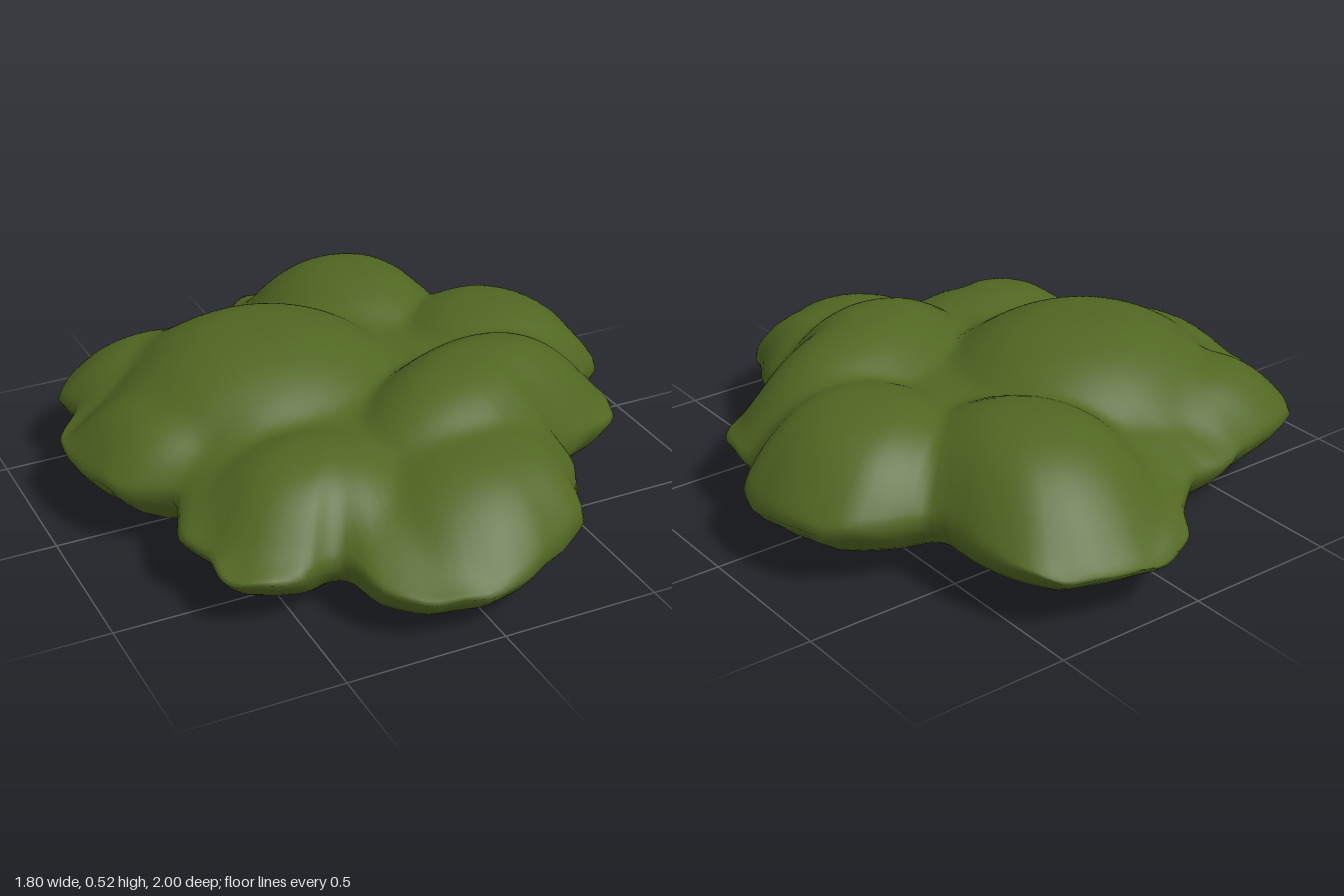
import * as THREE from 'three';

// Plan outline as x, z pairs, from +x round through +z
const OUTLINE = [
  0.90, -0.05, 0.87, 0.05, 0.79, 0.13, 0.78, 0.25, 0.74, 0.37, 0.62, 0.44, 0.48, 0.50, 0.45, 0.62,
  0.38, 0.75, 0.35, 0.83, 0.20, 0.92, 0.07, 0.98, -0.05, 0.995, -0.20, 0.97, -0.32, 0.87, -0.37, 0.72,
  -0.42, 0.70, -0.52, 0.73, -0.66, 0.69, -0.71, 0.62, -0.71, 0.52, -0.75, 0.40, -0.70, 0.23, -0.83, 0.12,
  -0.88, 0.0, -0.90, -0.18, -0.87, -0.30, -0.80, -0.38, -0.81, -0.50, -0.75, -0.60, -0.65, -0.65, -0.50, -0.68,
  -0.35, -0.73, -0.22, -0.74, -0.10, -0.82, 0.0, -0.95, 0.10, -0.995, 0.22, -0.995, 0.38, -0.95, 0.48, -0.88,
  0.54, -0.70, 0.57, -0.48, 0.70, -0.43, 0.82, -0.36, 0.89, -0.20,
];

// Rounded lumps: x, z, height, x radius, z radius, turn
const LUMPS = [
  [0, 0, 0.39, 1.0, 1.0, 0],
  [-0.26, -0.14, 0.52, 0.50, 0.46, 0],
  [0.27, 0.29, 0.505, 0.52, 0.31, 0.4],
  [0.16, 0.60, 0.405, 0.46, 0.42, 0.3],
  [-0.34, 0.43, 0.405, 0.40, 0.32, 0],
  [-0.62, -0.05, 0.40, 0.34, 0.36, 0],
  [-0.52, -0.43, 0.405, 0.38, 0.32, 0],
  [0.24, -0.50, 0.47, 0.38, 0.43, 0],
  [0.55, -0.11, 0.46, 0.40, 0.40, 0],
];

// Soft maximum of all lumps
function lumpHeight(x, z) {
  const k = 0.013;
  let sum = 0;
  for (const [cx, cz, h, rx, rz, turn] of LUMPS) {
    const c = Math.cos(turn), s = Math.sin(turn);
    const u = ((x - cx) * c - (z - cz) * s) / rx;
    const v = ((x - cx) * s + (z - cz) * c) / rz;
    sum += Math.exp((h - 0.22 * (u * u + v * v) ** 1.3) / k);
  }
  return k * Math.log(sum);
}

const bump = (x, z, cx, cz, r) => Math.exp(-((x - cx) ** 2 + (z - cz) ** 2) / (r * r));

// Slightly ragged height of the outer edge, drooping at the front and back
function rimHeight(x, z) {
  const a = Math.atan2(z, x);
  const droop = 0.065 * bump(x, z, -0.1, 1, 0.5) + 0.03 * bump(x, z, -0.7, 0.6, 0.3)
    + 0.035 * bump(x, z, 0.2, -1, 0.4) + 0.02 * bump(x, z, 0.9, -0.05, 0.2);
  return 0.21 - droop + 0.006 * Math.sin(23 * a) + 0.004 * Math.sin(41 * a + 1);
}

function topHeight(x, z, t, rim) {
  return rim + (lumpHeight(x, z) - rim) * Math.sqrt(Math.max(0, 1 - t ** 7));
}

function bottomHeight(x, z, t, rim) {
  const base = 0.055 - 0.07 * bump(x, z, -0.05, 0.86, 0.42) - 0.02 * bump(x, z, -0.55, 0.5, 0.35);
  return Math.max(0, base + (rim - base) * t ** 9);
}

// Closed skin of rings: centre of top, out to the rim, back in underneath
function foliageGeometry() {
  const points = [];
  for (let i = 0; i < OUTLINE.length; i += 2) points.push(new THREE.Vector3(OUTLINE[i], 0, OUTLINE[i + 1]));
  const curve = new THREE.CatmullRomCurve3(points, true);
  const segs = 180, topRings = 44, bottomRings = 18;
  const edge = Array.from({ length: segs }, (_, i) => curve.getPoint(i / segs));
  const pos = [0, topHeight(0, 0, 0, 0.18), 0];
  const index = [];

  const addRing = (t, heightAt) => {
    for (const p of edge) {
      const x = p.x * t, z = p.z * t;
      pos.push(x, heightAt(x, z, t, rimHeight(p.x, p.z)), z);
    }
  };
  // Rings crowd towards the rim so that it rounds off cleanly
  const spread = (f) => 0.45 * f + 0.55 * Math.sin(f * Math.PI / 2);
  for (let r = 1; r <= topRings; r++) addRing(spread(r / topRings), topHeight);
  for (let r = bottomRings - 1; r >= 1; r--) addRing(spread(r / bottomRings), bottomHeight);
  const last = pos.length / 3;
  pos.push(0, bottomHeight(0, 0, 0, 0.18), 0);

  const rings = topRings + bottomRings - 1;
  for (let i = 0; i < segs; i++) {
    const j = (i + 1) % segs;
    index.push(0, 1 + j, 1 + i);
    for (let r = 0; r < rings - 1; r++) {
      const a = 1 + r * segs, b = a + segs;
      index.push(a + i, a + j, b + i, a + j, b + j, b + i);
    }
    const end = 1 + (rings - 1) * segs;
    index.push(last, end + i, end + j);
  }

  const geometry = new THREE.BufferGeometry();
  geometry.setAttribute('position', new THREE.Float32BufferAttribute(pos, 3));
  geometry.setIndex(index);
  geometry.computeVertexNormals();
  return geometry;
}

export function createModel() {
  const green = new THREE.MeshStandardMaterial({ color: 0x516722 });
  green.name = 'olive green';
  const foliage = new THREE.Mesh(foliageGeometry(), green);
  foliage.name = 'foliage';
  const group = new THREE.Group();
  group.name = 'bush';
  group.add(foliage);
  return group;
}
